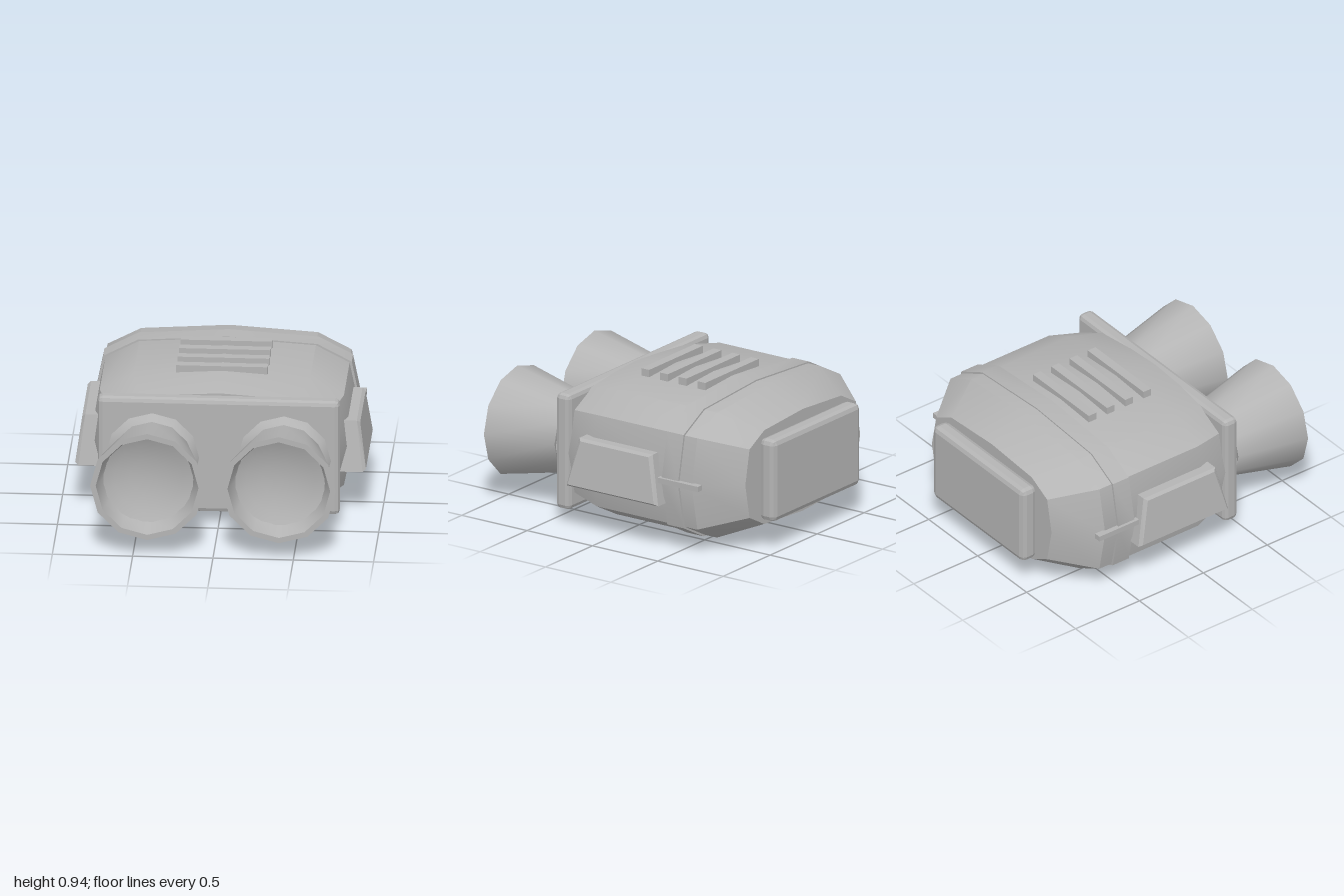
import * as THREE from 'three';
import { toCreasedNormals } from 'three/addons/utils/BufferGeometryUtils.js';
import { RoundedBoxGeometry } from 'three/addons/geometries/RoundedBoxGeometry.js';
import { ConvexGeometry } from 'three/addons/geometries/ConvexGeometry.js';

const CREASE = 0.6;
const MID_Y = 0.465;

// Half of the hull section, from bottom centre up the left side, relative to MID_Y
const HALF = [[0, -0.445], [0.55, -0.41], [0.76, -0.3], [0.82, 0], [0.76, 0.3], [0.55, 0.41], [0, 0.445]];
const SECTION = [...HALF, ...HALF.slice(1, -1).reverse().map(([x, y]) => [-x, y])];

// Closed loft of the hull section through rings [z, scaleX, scaleY], back to front
function loft(rings) {
  const n = SECTION.length;
  const pos = [];
  const index = [];
  for (const [z, sx, sy] of rings) {
    for (const [x, y] of SECTION) pos.push(x * sx, MID_Y + y * sy, z);
  }
  for (let r = 0; r < rings.length - 1; r++) {
    for (let i = 0; i < n; i++) {
      const a = r * n + i;
      const b = r * n + ((i + 1) % n);
      index.push(a, b, b + n, a, b + n, a + n);
    }
  }
  const last = (rings.length - 1) * n;
  for (let i = 1; i < n - 1; i++) {
    index.push(0, i + 1, i, last, last + i, last + i + 1);
  }
  const geo = new THREE.BufferGeometry();
  geo.setAttribute('position', new THREE.Float32BufferAttribute(pos, 3));
  geo.setIndex(index);
  return toCreasedNormals(geo, CREASE);
}

// Twelve-sided turned shape along z, profile points are [radius, z]
function turned(profile) {
  const geo = new THREE.LatheGeometry(profile.map(([r, z]) => new THREE.Vector2(r, z)), 12);
  geo.rotateX(Math.PI / 2);
  return toCreasedNormals(geo, CREASE);
}

// Box with chamfered edges
function chamferBox(w, h, d, r) {
  const geo = new RoundedBoxGeometry(w + 0.2 * r, h + 0.2 * r, d + 0.2 * r, 1, r);
  geo.computeVertexNormals();
  return geo;
}

// Trapezoid side pad, thicker at the bottom, with a chamfered outer face
function padGeometry(side) {
  const corners = [[0.28, 0.31, 0.905], [-0.42, 0.31, 0.905], [-0.35, 0.625, 0.865], [0.21, 0.625, 0.865]];
  const points = [];
  for (const [z, y, x] of corners) {
    const iz = z > 0 ? z - 0.02 : z + 0.02;
    const iy = y < 0.4 ? y + 0.015 : y - 0.015;
    points.push(new THREE.Vector3(side * 0.72, y, z));
    points.push(new THREE.Vector3(side * (x - 0.02), y, z));
    points.push(new THREE.Vector3(side * x, iy, iz));
  }
  return new ConvexGeometry(points);
}

export function createModel() {
  const group = new THREE.Group();
  const grey = new THREE.MeshStandardMaterial({ color: 0xb4b4b4 });
  grey.name = 'grey';

  function add(name, geo, x = 0, y = 0, z = 0) {
    const mesh = new THREE.Mesh(geo, grey);
    mesh.name = name;
    mesh.position.set(x, y, z);
    group.add(mesh);
    return mesh;
  }

  // Hull and the raised band around it
  add('hull', loft([[-0.89, 0.745, 0.75], [-0.63, 1, 1], [0.14, 1, 1], [0.39, 0.9, 0.885]]));
  add('band', loft([[-0.535, 1.018, 1.02], [-0.41, 1.018, 1.02]]));

  // Front and back plates
  add('frontPlate', chamferBox(1.5, 0.75, 0.1, 0.03), 0, MID_Y, 0.41);
  add('backPlate', chamferBox(0.92, 0.53, 0.11, 0.035), 0, MID_Y, -0.945);

  // Vent bars on top and the plate underneath
  for (let i = 0; i < 4; i++) {
    add('ventBar', new THREE.BoxGeometry(0.57, 0.08, 0.06), 0, 0.9, 0.11 - i * 0.143);
  }
  add('bottomPlate', new THREE.BoxGeometry(0.36, 0.05, 0.5), 0, 0.025, -0.11);

  for (const side of [1, -1]) {
    // Flared tube with a collar at its base and a hollow mouth
    add('tube', turned([
      [0.25, 0.44], [0.25, 0.46], [0.292, 0.495], [0.25, 0.535],
      [0.355, 1], [0.32, 1], [0.28, 0.86],
    ]), side * 0.41, MID_Y, 0);

    // Shallow dished lens inside the tube
    const lens = add('lens', turned([
      [0.288, 0.885], [0.22, 0.855], [0.12, 0.83], [0, 0.82],
    ]), side * 0.41, MID_Y, 0);
    lens.rotation.z = Math.PI / 12;

    // Side pad and the thin strut behind it
    add('sidePad', padGeometry(side));
    add('sideStrut', new THREE.BoxGeometry(0.045, 0.035, 0.31), side * 0.8275, 0.467, -0.543);
  }

  return group;
}
